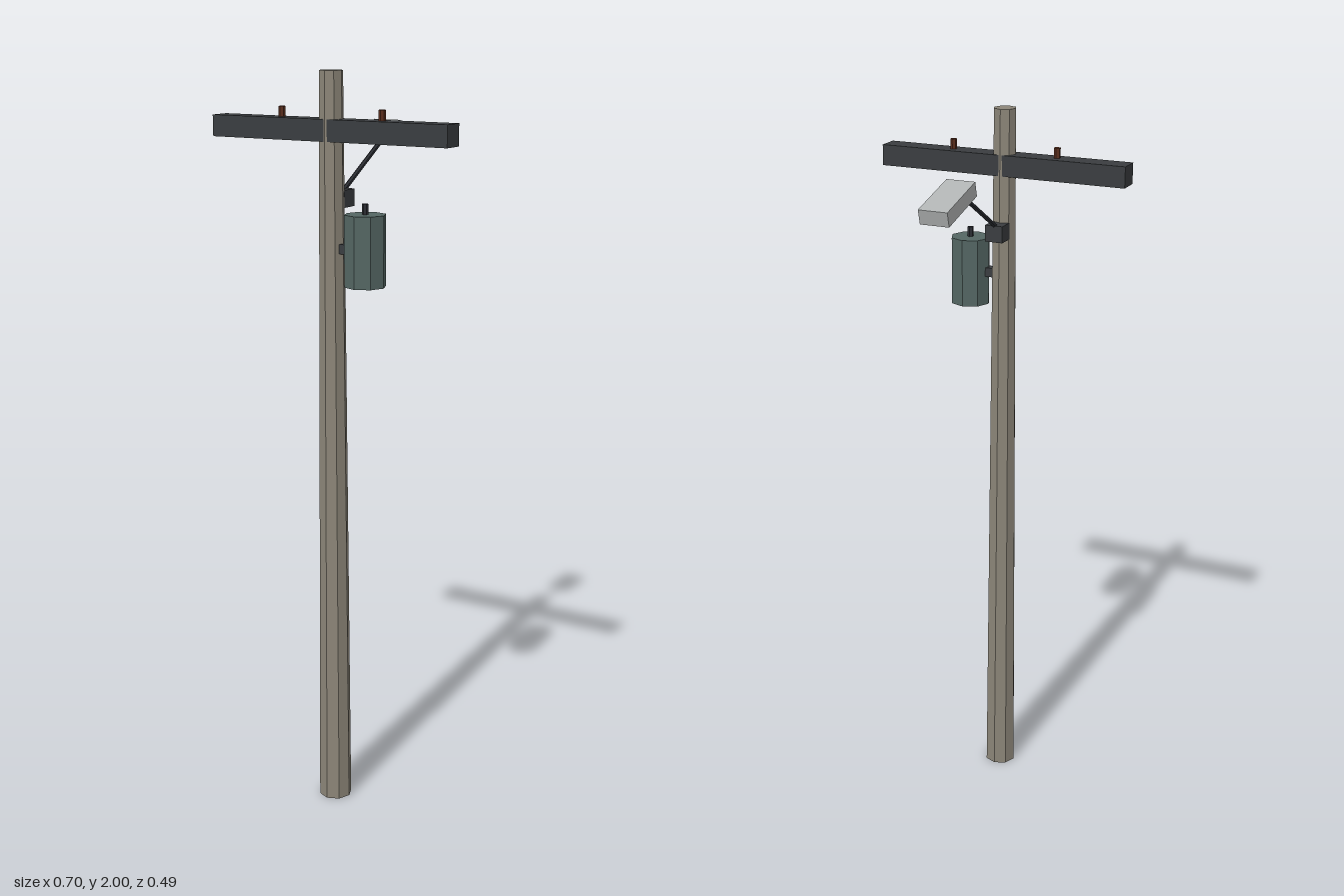
import * as THREE from 'three';

const mat = (color) => new THREE.MeshStandardMaterial({ color, flatShading: true });
const wood = mat(0x8b8578), darkMetal = mat(0x3a3d40), tank = mat(0x546663);
const lampGrey = mat(0xb0b3b3), ceramic = mat(0x5a2e1e), armMetal = mat(0x2b2d33);

export function createModel() {
  const group = new THREE.Group();
  const poleZ = 0.19;

  const add = (name, geometry, material, x, y, z) => {
    const mesh = new THREE.Mesh(geometry, material);
    mesh.name = name;
    mesh.position.set(x, y, z);
    group.add(mesh);
    return mesh;
  };
  const box = (name, w, h, d, material, x, y, z) =>
    add(name, new THREE.BoxGeometry(w, h, d), material, x, y, z);
  const cylinder = (name, rTop, rBottom, h, sides, material, x, y, z) =>
    add(name, new THREE.CylinderGeometry(rTop, rBottom, h, sides), material, x, y, z);

  // Tapered pole
  cylinder('pole', 0.031, 0.045, 2, 8, wood, 0, 1, poleZ);

  // Crossarm with a pair of insulators
  box('crossarm', 0.7, 0.056, 0.06, darkMetal, 0, 1.852, poleZ);
  for (const side of [-1, 1]) {
    cylinder('insulator', 0.009, 0.009, 0.03, 6, ceramic, side * 0.15, 1.892, poleZ);
  }

  // Transformer, its terminal and its mounting bracket
  cylinder('transformer', 0.055, 0.055, 0.185, 8, tank, 0.1, 1.5525, poleZ);
  cylinder('transformerTerminal', 0.008, 0.008, 0.03, 6, armMetal, 0.1, 1.657, poleZ);
  box('transformerBracket', 0.04, 0.025, 0.025, darkMetal, 0.043, 1.5525, poleZ);

  // Street lamp: bracket, sloping arm and tilted head
  box('lampBracket', 0.05, 0.045, 0.05, darkMetal, 0, 1.677, 0.145);
  const start = new THREE.Vector3(0, 1.69, 0.142);
  const end = new THREE.Vector3(0, 1.832, -0.095);
  const along = end.clone().sub(start);
  const arm = cylinder('lampArm', 0.0065, 0.0065, along.length(), 6, armMetal, 0, 0, 0);
  arm.position.copy(start).add(end).multiplyScalar(0.5);
  arm.quaternion.setFromUnitVectors(new THREE.Vector3(0, 1, 0), along.normalize());
  const head = box('lampHead', 0.08, 0.04, 0.169, lampGrey, 0, 1.821, -0.1615);
  head.rotation.x = -0.26;

  return group;
}
